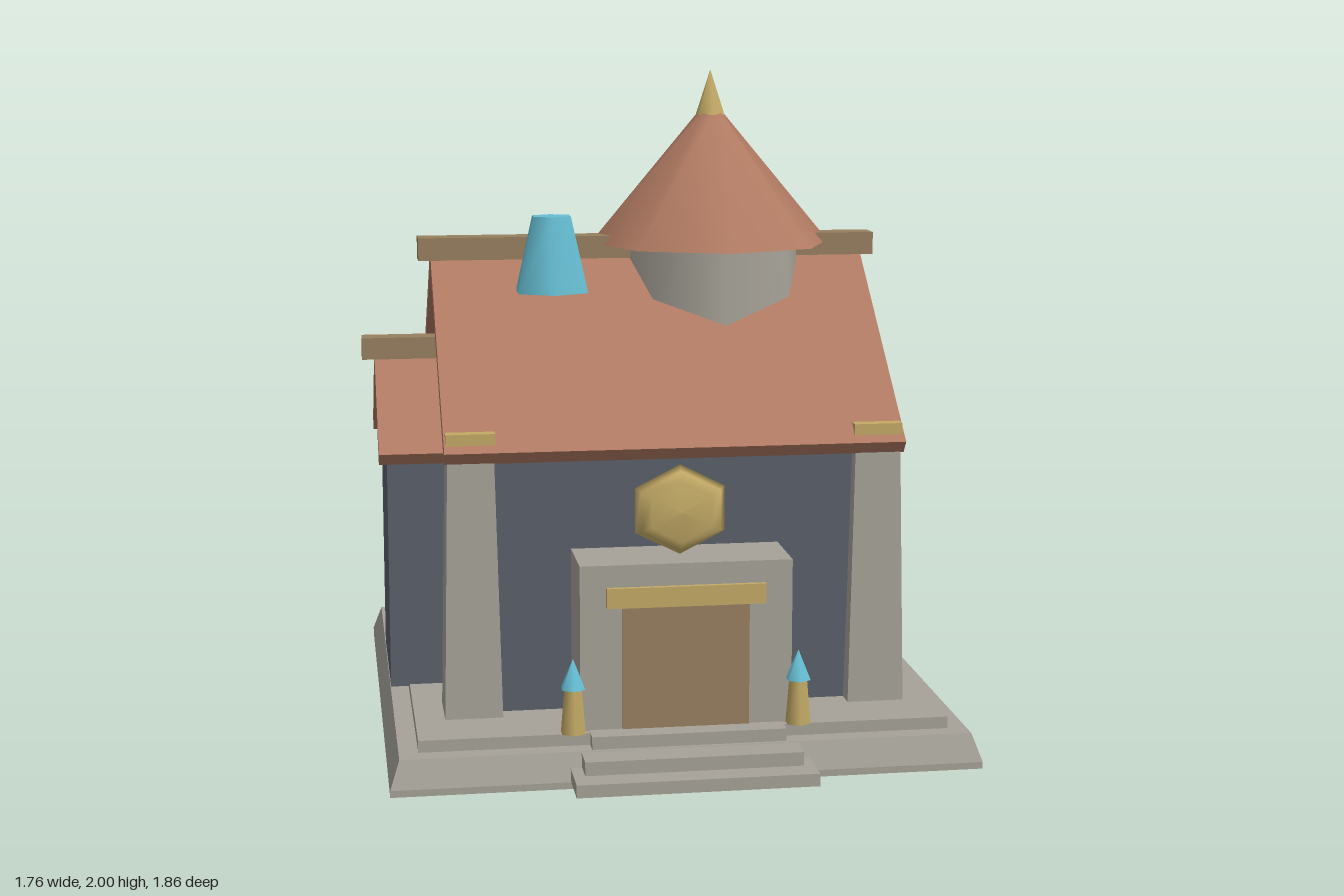
import * as THREE from 'three';

const mat = (name, color) => {
  const m = new THREE.MeshStandardMaterial({ color });
  m.name = name;
  return m;
};

export function createModel() {
  const root = new THREE.Group();
  const stone = mat('stone', 0xa6a298);
  const slate = mat('slate wall', 0x5b5f6b);
  const tile = mat('roof tile', 0xb07a62);
  const wood = mat('wood', 0x97805f);
  const gold = mat('gold', 0xc3aa66);
  const cyan = mat('cyan', 0x66bed3);
  const midZ = -0.106; // ridge line

  const add = (name, geo, material, x = 0, y = 0, z = 0) => {
    const mesh = new THREE.Mesh(geo, material);
    mesh.name = name;
    mesh.position.set(x, y, z);
    root.add(mesh);
    return mesh;
  };
  // Box given by its limits
  const block = (name, material, x0, x1, y0, y1, z0, z1) =>
    add(name, new THREE.BoxGeometry(x1 - x0, y1 - y0, z1 - z0), material,
      (x0 + x1) / 2, (y0 + y1) / 2, (z0 + z1) / 2);
  // Square block whose half width changes from bottom to top
  const tapered = (name, material, x, z, y0, y1, bottom, top) => {
    const geo = new THREE.BoxGeometry(2, y1 - y0, 2);
    const p = geo.attributes.position;
    for (let i = 0; i < p.count; i++) {
      const s = p.getY(i) > 0 ? top : bottom;
      p.setXYZ(i, p.getX(i) * s, p.getY(i), p.getZ(i) * s);
    }
    geo.computeVertexNormals();
    return add(name, geo, material, x, (y0 + y1) / 2, z);
  };
  // Round part standing between two heights
  const round = (name, material, x, z, y0, y1, bottom, top, sides) =>
    add(name, new THREE.CylinderGeometry(top, bottom, y1 - y0, sides), material, x, (y0 + y1) / 2, z);
  // Outline of [offset from ridge line, height], extruded from x0 to x1
  const extrudeX = (name, material, points, x0, x1) => {
    const shape = new THREE.Shape(points.map(([a, b]) => new THREE.Vector2(a, b)));
    const geo = new THREE.ExtrudeGeometry(shape, { depth: x1 - x0, bevelEnabled: false });
    geo.rotateY(Math.PI / 2);
    return add(name, geo, material, x0, 0, midZ);
  };
  const roof = (name, x0, x1, half, eave, apex) => extrudeX(name, tile, [
    [-half, eave], [-half + 0.028, eave - 0.036], [0, apex - 0.055],
    [half - 0.028, eave - 0.036], [half, eave], [0, apex]], x0, x1);
  const gable = (name, x0, x1, half, y0, y1) => extrudeX(name, stone, [
    [-half, y0], [half, y0], [0.04, y1], [-0.04, y1]], x0, x1);

  // Plinth and steps
  tapered('plinthFoot', stone, 0.013, -0.07, 0, 0.02, 0.86, 0.86);
  tapered('plinth', stone, 0.013, -0.07, 0.02, 0.1, 0.86, 0.832);
  tapered('plinthTop', stone, 0.013, -0.07, 0.1, 0.135, 0.776, 0.776);
  block('lowerStep', stone, -0.335, 0.358, 0.02, 0.057, 0.74, 0.925);
  block('middleStep', stone, -0.302, 0.327, 0.057, 0.097, 0.68, 0.85);
  block('upperStep', stone, -0.27, 0.296, 0.097, 0.137, 0.6, 0.752);

  // Main hall with corner columns and gold caps
  block('hallWalls', slate, -0.61, 0.64, 0.13, 0.92, -0.68, 0.465);
  for (const x of [-0.59, 0.615]) {
    for (const z of [0.44, -0.655]) {
      tapered('cornerColumn', stone, x, z, 0.13, 0.945, 0.085, 0.067);
      block('columnCap', gold, x - 0.072, x + 0.072, 0.942, 0.98, z - 0.072, z + 0.072);
    }
  }
  gable('rightGable', 0.58, 0.64, 0.362, 0.915, 1.28);
  gable('leftGable', -0.61, -0.55, 0.362, 0.915, 1.28);
  roof('mainRoof', -0.667, 0.693, 0.641, 0.928, 1.45);
  block('ridgeBeam', wood, -0.705, 0.732, 1.42, 1.49, -0.153, -0.065);

  // Side wing
  block('wingWalls', slate, -0.82, -0.6, 0.13, 0.855, midZ - 0.26, midZ + 0.26);
  gable('wingGable', -0.82, -0.77, 0.2, 0.855, 1.06);
  roof('wingRoof', -0.845, -0.61, 0.325, 0.87, 1.14);
  block('wingRidgeBeam', wood, -0.883, -0.6, 1.115, 1.182, -0.15, -0.07);

  // Tower
  round('towerDrum', stone, 0.22, -0.143, 1.14, 1.47, 0.31, 0.295, 8);
  round('towerRoof', tile, 0.22, -0.143, 1.46, 1.865, 0.382, 0.042, 8);
  round('towerFinial', gold, 0.22, -0.143, 1.86, 2, 0.048, 0, 6);

  // Chimney
  round('chimney', cyan, -0.306, 0.073, 1.335, 1.567, 0.107, 0.057, 6).scale.x = 1.14;

  // Doorway
  block('doorSurround', stone, -0.296, 0.323, 0.13, 0.622, 0.45, 0.685);
  block('door', wood, -0.173, 0.197, 0.137, 0.495, 0.684, 0.69);
  block('doorLintel', gold, -0.22, 0.243, 0.498, 0.557, 0.67, 0.7);

  // Six-sided domed medallion above the door
  const dome = [[0, 0], [0.133, 0], [0.118, 0.025], [0.09, 0.042], [0, 0.052]];
  const medallion = add('medallion',
    new THREE.LatheGeometry(dome.map(([r, h]) => new THREE.Vector2(r, h)), 6),
    gold, 0.011, 0.755, 0.573);
  medallion.rotation.x = Math.PI / 2;
  medallion.scale.x = 1.14;

  // Lamp posts beside the steps
  for (const x of [-0.318, 0.34]) {
    round('lampPost', gold, x, 0.698, 0.137, 0.28, 0.039, 0.026, 6);
    round('lampFlame', cyan, x, 0.698, 0.268, 0.356, 0.038, 0, 6);
  }
  return root;
}
